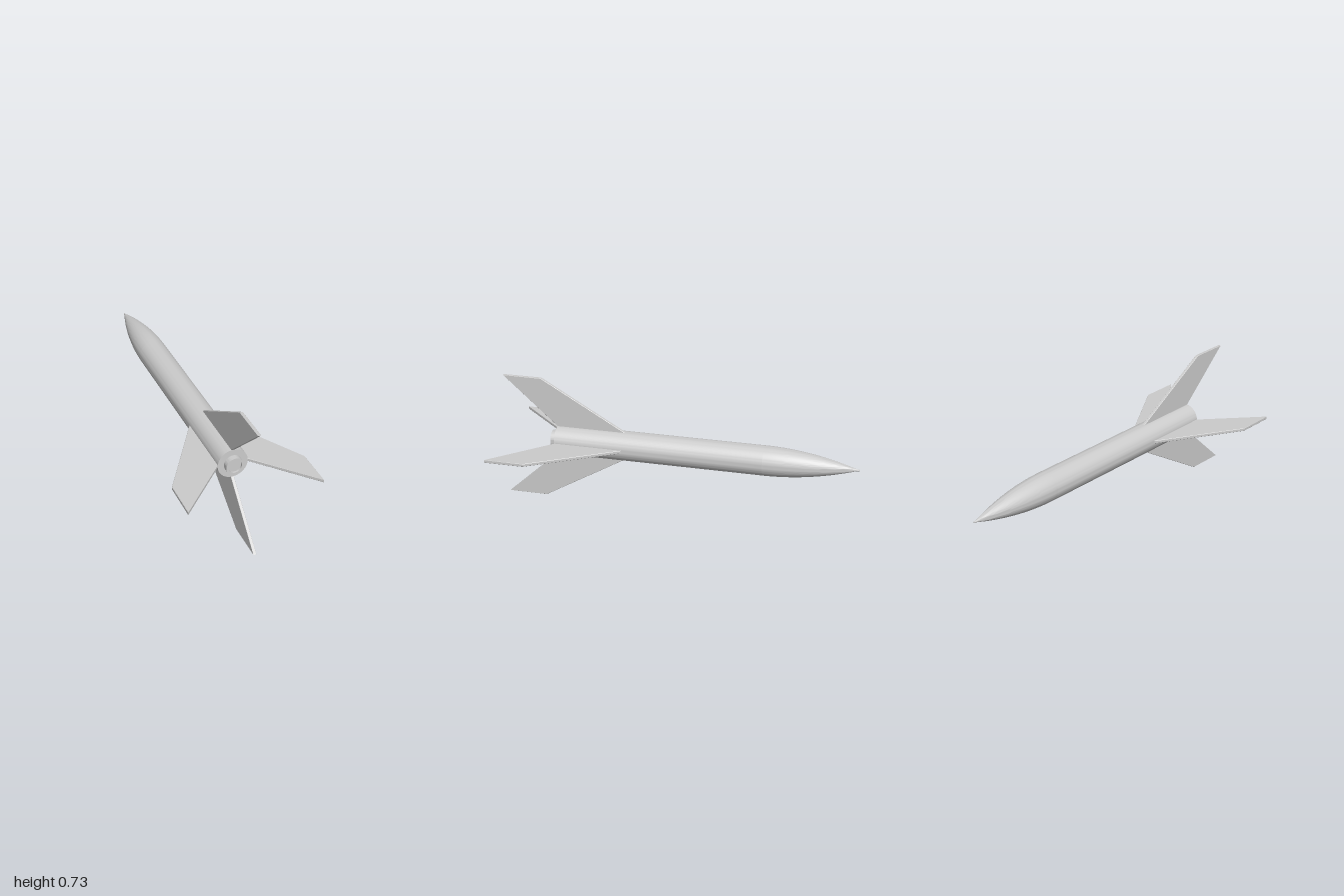
import * as THREE from 'three';
import { toCreasedNormals } from 'three/addons/utils/BufferGeometryUtils.js';

const AXIS_Y = 0.363, RADIUS = 0.083, TAIL_Z = 0.695, SHOULDER_Z = -0.48, TIP_Z = -1;
const material = new THREE.MeshStandardMaterial({ color: 0xcccccc });

// Turned part from [radius, z] pairs, listed from tail to nose
function turned(name, profile) {
  const points = profile.map(([r, z]) => new THREE.Vector2(r, -z));
  const geometry = new THREE.LatheGeometry(points, 64).rotateX(-Math.PI / 2);
  const mesh = new THREE.Mesh(toCreasedNormals(geometry, 0.6), material);
  mesh.name = name;
  return mesh;
}

// Swept fin plate lying in the xz plane, root buried slightly in the body
function finGeometry() {
  const thickness = 0.017, bevel = 0.002;
  const shape = new THREE.Shape([
    [0.078, 0.302], [0.083, 0.305], [0.363, 0.78], [0.363, 1], [0.083, 0.695], [0.078, 0.695],
  ].map(([r, z]) => new THREE.Vector2(r, z)));
  return new THREE.ExtrudeGeometry(shape, {
    depth: thickness - 2 * bevel, bevelEnabled: true, bevelSegments: 1,
    bevelSize: bevel, bevelThickness: bevel, bevelOffset: -bevel,
  }).translate(0, 0, bevel - thickness / 2).rotateX(Math.PI / 2);
}

export function createModel() {
  const model = new THREE.Group();
  model.name = 'rocket';
  const rocket = new THREE.Group();
  rocket.name = 'rocketAssembly';
  rocket.position.y = AXIS_Y;
  model.add(rocket);

  // Body tube with closed tail
  rocket.add(turned('bodyTube', [[0, TAIL_Z], [RADIUS, TAIL_Z], [RADIUS, SHOULDER_Z]]));

  // Ogive nose cone with a small blunt tip
  const nose = [];
  const steps = 24;
  for (let i = 0; i < steps; i++) {
    const t = i / steps;
    nose.push([RADIUS * (1 - t * t), SHOULDER_Z + (TIP_Z - SHOULDER_Z) * t]);
  }
  nose.push([0.004, TIP_Z + 0.003], [0, TIP_Z]);
  rocket.add(turned('noseCone', nose));

  // Motor nozzle: short ring with a recessed centre
  rocket.add(turned('nozzle', [
    [0, 0.715], [0.037, 0.715], [0.037, 0.727], [0.049, 0.727], [0.049, 0.69],
  ]));

  // Four fins around the tail
  const geometry = finGeometry();
  ['finLeft', 'finTop', 'finRight', 'finBottom'].forEach((name, i) => {
    const fin = new THREE.Mesh(geometry, material);
    fin.name = name;
    fin.rotation.z = i * Math.PI / 2;
    rocket.add(fin);
  });

  return model;
}
